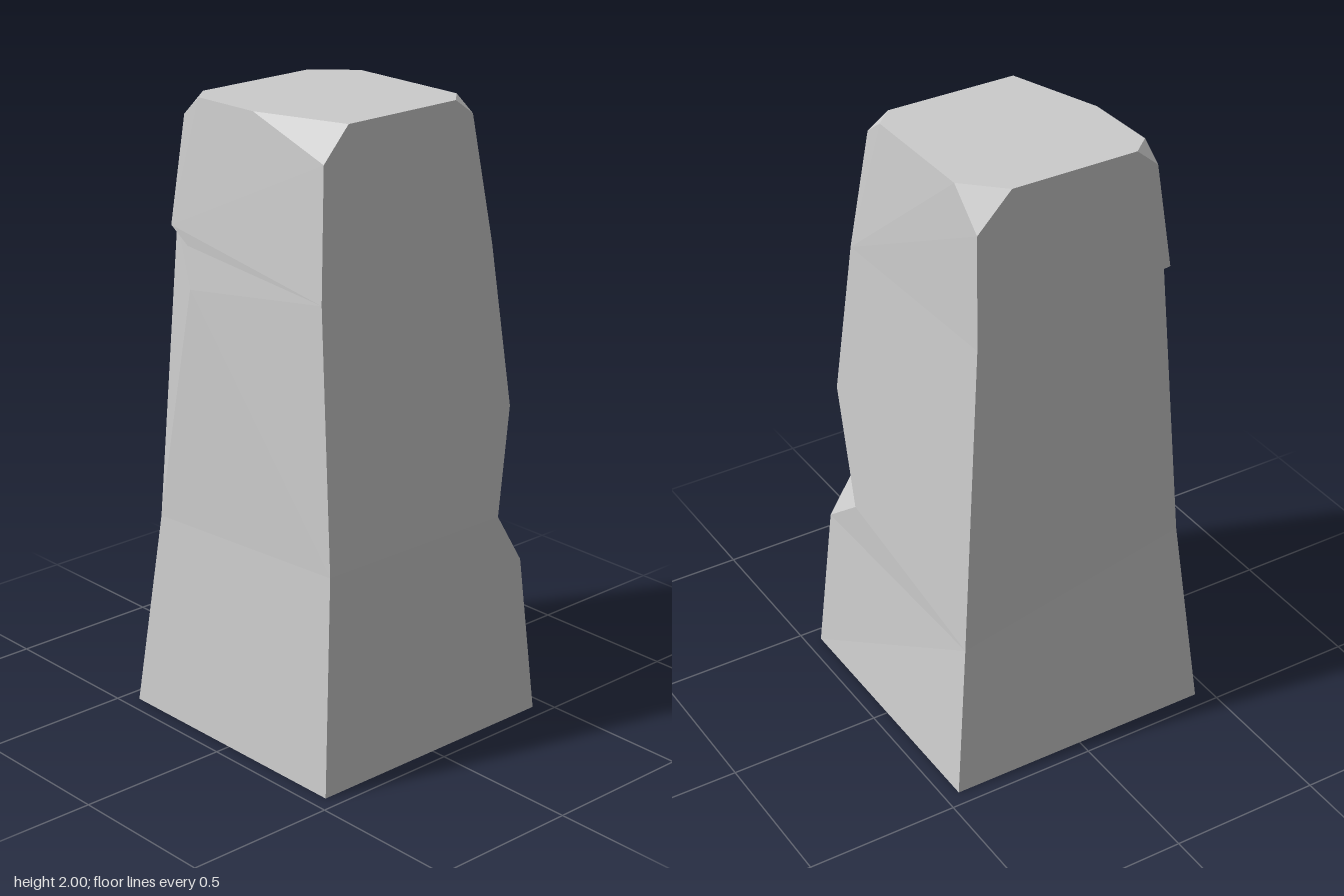
import * as THREE from 'three';

// Corner points of the stone, letters: a = front left, b = front right, c = back right, d = back left, t = top rim
const P = {
  a0: [0.45, 0, 0.45], a1: [0.41, 0.52, 0.415], af: [0.31, 0.69, 0.41], as: [0.405, 0.65, 0.25],
  a2: [0.388, 1.03, 0.375], a3: [0.35, 1.55, 0.32], a4: [0.303, 1.95, 0.275],
  b0: [-0.45, 0, 0.45], b1: [-0.39, 0.69, 0.405], b2: [-0.345, 1.5, 0.32], b3: [-0.3, 1.9, 0.28],
  c0: [-0.45, 0, -0.45], c1: [-0.395, 0.65, -0.38], cb: [-0.33, 1.6, -0.35], cl: [-0.353, 1.6, -0.35],
  cs: [-0.352, 1.55, -0.275], cs2: [-0.366, 1.42, -0.25], c3: [-0.31, 1.94, -0.33],
  d0: [0.45, 0, -0.45], d1: [0.388, 0.5, -0.395], d2: [0.315, 1.53, -0.357], d3: [0.3, 1.89, -0.335],
  t1: [0.235, 2, 0.27], t2: [-0.195, 2, 0.27], t3: [-0.297, 2, -0.03], t4: [-0.303, 2, -0.27],
  t5: [-0.24, 2, -0.325], t6: [0.18, 2, -0.325], t7: [0.298, 2, -0.21], t8: [0.298, 2, 0.21],
};

const FACES = [
  // front
  'b0 a0 a1 b1', 'b1 a1 af', 'b1 af a2', 'b1 a2 a3 b2', 'b2 a3 a4 t1 t2 b3',
  // left side
  'a0 d0 d1 a1', 'a1 d1 as', 'as d1 d2 a2', 'a2 d2 a3', 'a3 d2 d3 t7 t8 a4',
  // back
  'd0 c0 c1 d1', 'd1 c1 cb d2', 'd2 cb cl c3 t5 t6 d3',
  // right side
  'c0 b0 b1 c1', 'c1 b1 cs2', 'b1 b2 cs2', 'cs2 b2 cs', 'cs b2 cl', 'cl b2 b3 t3 t4 c3',
  // chip in the front left edge
  'af as a2', 'a1 as af',
  // long chip in the back right edge, with its overhanging lip
  'c1 cs2 cb', 'cb cs2 cs cl',
  // broken top corners
  'a4 t8 t1', 'b3 t2 t3', 'c3 t4 t5', 'd3 t6 t7',
  // top and underside
  't1 t8 t7 t6 t5 t4 t3 t2', 'a0 b0 c0 d0',
];

// Fan each polygon into separate triangles for crisp facets
function facetGeometry(points, faces) {
  const positions = [];
  for (const face of faces) {
    const loop = face.split(' ').map((name) => points[name]);
    for (let i = 1; i < loop.length - 1; i++) {
      positions.push(...loop[0], ...loop[i], ...loop[i + 1]);
    }
  }
  const geometry = new THREE.BufferGeometry();
  geometry.setAttribute('position', new THREE.Float32BufferAttribute(positions, 3));
  geometry.computeVertexNormals();
  return geometry;
}

export function createModel() {
  const group = new THREE.Group();
  group.name = 'stonePost';
  const material = new THREE.MeshStandardMaterial({ color: 0xcccccc, flatShading: true });
  const stone = new THREE.Mesh(facetGeometry(P, FACES), material);
  stone.name = 'chippedStone';
  group.add(stone);
  return group;
}
